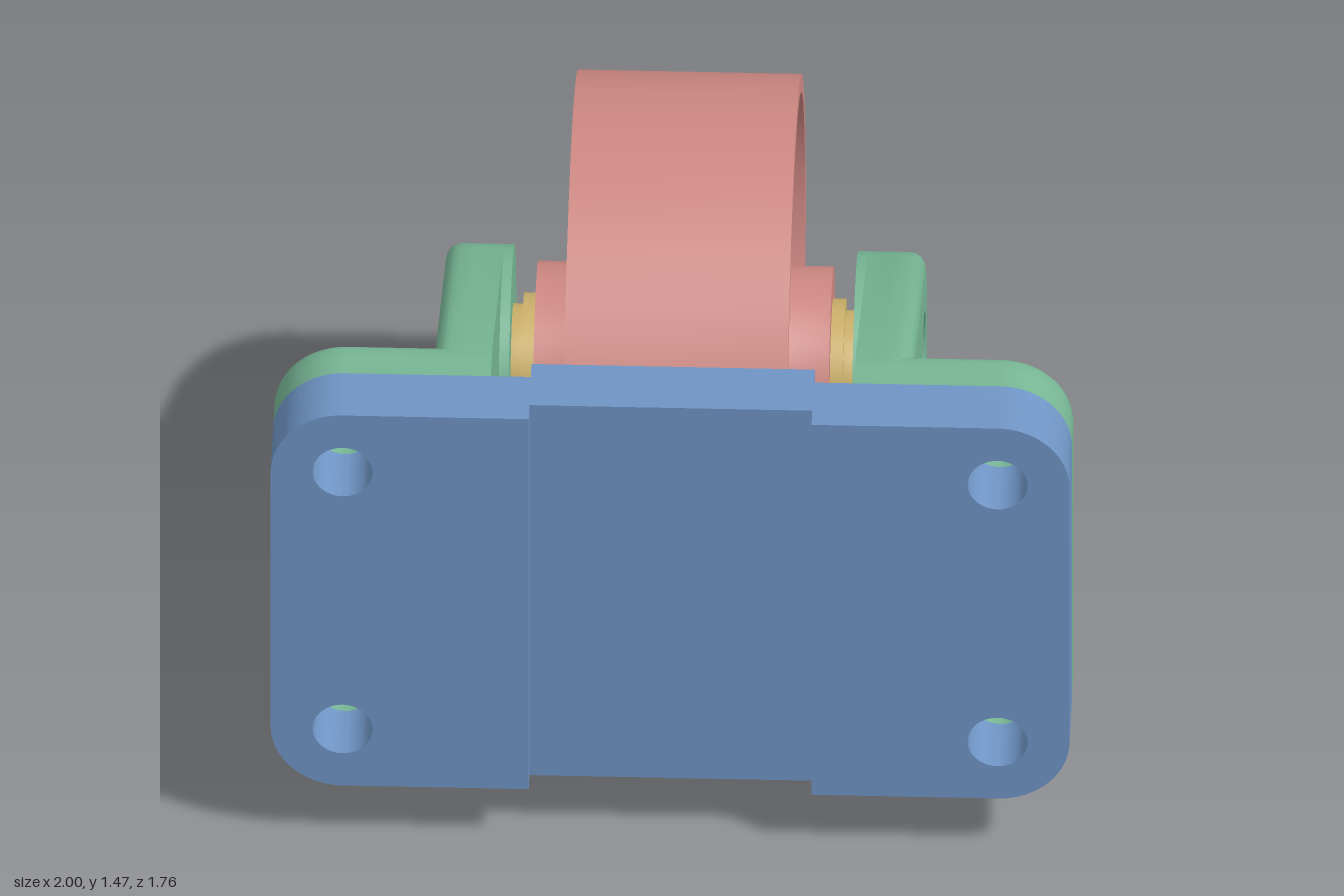
import * as THREE from 'three';
import { mergeGeometries, toCreasedNormals } from 'three/addons/utils/BufferGeometryUtils.js';

const H = 0.5725;        // half height of the mounting plate
const AXLE_Z = -0.148;
const AXLE_Y = 0.7375;
const BORE = 0.149;

const material = (name, color) => {
  const m = new THREE.MeshStandardMaterial({ color });
  m.name = name;
  return m;
};

function addMesh(parent, name, geometry, mat) {
  const mesh = new THREE.Mesh(toCreasedNormals(geometry, 0.5), mat);
  mesh.name = name;
  parent.add(mesh);
  return mesh;
}

// Straight extrusion
const extrude = (shape, depth) =>
  new THREE.ExtrudeGeometry(shape, { depth, bevelEnabled: false, curveSegments: 24 });

// Extrusion whose far face alone has rounded edges
function roundedSlab(shape, height, r) {
  const mid = (height - r) * 0.6;
  const top = new THREE.ExtrudeGeometry(shape, {
    depth: height - r - mid, curveSegments: 24,
    bevelThickness: r, bevelSize: r, bevelOffset: -r, bevelSegments: 4,
  });
  // bevelOffset shifts only the ends, so the middle keeps the full outline
  return mergeGeometries([extrude(shape, mid), top.translate(0, 0, mid)]);
}

// Plate outline with two rounded outer corners and two bolt holes
function platePath(x0) {
  const r = 0.18;
  const s = new THREE.Shape();
  s.moveTo(x0, -H);
  s.lineTo(1 - r, -H);
  s.absarc(1 - r, -H + r, r, -Math.PI / 2, 0, false);
  s.lineTo(1, H - r);
  s.absarc(1 - r, H - r, r, 0, Math.PI / 2, false);
  s.lineTo(x0, H);
  for (const y of [-0.3975, 0.3975]) {
    s.holes.push(new THREE.Path().absarc(0.82, y, 0.075, 0, Math.PI * 2, true));
  }
  return s;
}

// Tapered arm outline, drawn in (-z, y)
function armPath() {
  const s = new THREE.Shape();
  s.moveTo(-0.66, -H);
  s.lineTo(-0.565, -H);
  s.absarc(-AXLE_Z, 0, 0.295, -1.224, 1.224, false);
  s.lineTo(-0.565, H);
  s.lineTo(-0.66, H);
  s.holes.push(new THREE.Path().absarc(-AXLE_Z, 0, BORE, 0, Math.PI * 2, true));
  return s;
}

// Keep the axle bore straight through the rounded slab
function straightenBore(geometry) {
  const p = geometry.attributes.position;
  for (let i = 0; i < p.count; i++) {
    const dx = p.getX(i) + AXLE_Z, dy = p.getY(i), d = Math.hypot(dx, dy);
    if (d < 0.22) p.setXY(i, -AXLE_Z + dx * BORE / d, dy * BORE / d);
  }
  return geometry;
}

// Revolve a half profile of [radius, x], mirrored, around the axle
function turned(half) {
  const pts = [...half.map(([r, x]) => [r, -x]).reverse(), ...half];
  return new THREE.LatheGeometry(pts.map(([r, x]) => new THREE.Vector2(r, x)), 72)
    .rotateZ(-Math.PI / 2).translate(0, 0, AXLE_Z);
}

function makeBracket(green) {
  const g = new THREE.Group();
  // Bolted foot
  addMesh(g, 'bracketFoot',
    roundedSlab(platePath(0.455), 0.14, 0.04).rotateX(Math.PI).translate(0, 0, 0.7), green);
  // Arm carrying the axle
  addMesh(g, 'bracketArm',
    straightenBore(roundedSlab(armPath(), 0.145, 0.04)).rotateY(Math.PI / 2).translate(0.455, 0, 0), green);
  // Boss on the inner side of the arm
  const ring = new THREE.Shape().absarc(-AXLE_Z, 0, 0.295, 0, Math.PI * 2, false);
  ring.holes.push(new THREE.Path().absarc(-AXLE_Z, 0, BORE, 0, Math.PI * 2, true));
  addMesh(g, 'bracketBoss', extrude(ring, 0.025).rotateY(Math.PI / 2).translate(0.43, 0, 0), green);
  // Triangular stiffening rib, drawn in (x, -z)
  const rib = new THREE.Shape();
  rib.moveTo(0.52, -0.62);
  rib.lineTo(0.92, -0.62);
  rib.lineTo(0.89, -0.56);
  rib.lineTo(0.6, -0.085);
  rib.lineTo(0.52, 0.04);
  const ribGeometry = new THREE.ExtrudeGeometry(rib, {
    depth: 0.19, bevelThickness: 0.025, bevelSize: 0.025, bevelOffset: -0.025, bevelSegments: 4,
  });
  addMesh(g, 'bracketRib', ribGeometry.rotateX(-Math.PI / 2).translate(0, -0.095, 0), green);
  // Fillet between arm and foot
  const f = 0.035;
  const fillet = new THREE.Shape();
  fillet.moveTo(0, 0);
  fillet.lineTo(f, 0);
  fillet.absarc(f, f, f, -Math.PI / 2, -Math.PI, true);
  addMesh(g, 'bracketFillet',
    extrude(fillet, 1.06).rotateX(-Math.PI / 2).translate(0.6, -0.53, 0.56), green);
  return g;
}

export function createModel() {
  const blue = material('plate blue', 0x6f94c4);
  const green = material('bracket green', 0x76b594);
  const red = material('wheel red', 0xce8882);
  const brass = material('axle brass', 0xcbb06a);

  const model = new THREE.Group();
  model.name = 'wheelMount';
  const body = new THREE.Group();
  body.name = 'assembly';
  body.position.y = AXLE_Y;
  model.add(body);

  // Mounting plate: offset middle web between two side plates
  addMesh(body, 'plateMiddle',
    new THREE.BoxGeometry(0.71, 2 * H, 0.175).translate(0, 0, 0.7325), blue);

  // Each side is the other one turned half round
  for (const [side, turn] of [['left', 0], ['right', Math.PI]]) {
    const plate = addMesh(body, side + 'Plate',
      extrude(platePath(0.354), 0.18).translate(0, 0, 0.7), blue);
    plate.rotation.z = turn;
    const bracket = makeBracket(green);
    bracket.name = side + 'Bracket';
    bracket.rotation.z = turn;
    body.add(bracket);
  }

  // Wheel with recessed web and projecting hub
  addMesh(body, 'wheel', turned([
    [0.735, 0.28], [0.69, 0.28], [0.67, 0.15], [0.66, 0.12], [0.635, 0.102], [0.61, 0.1],
    [0.33, 0.1], [0.29, 0.11], [0.265, 0.135], [0.255, 0.17], [0.255, 0.37], [0, 0.37],
  ]), red);

  // Axle with thrust collars and chamfered ends
  addMesh(body, 'axle', turned([
    [0.175, 0.36], [0.175, 0.403], [0.147, 0.403], [0.147, 0.53],
    [0.138, 0.547], [0.118, 0.555], [0, 0.555],
  ]), brass);

  return model;
}
